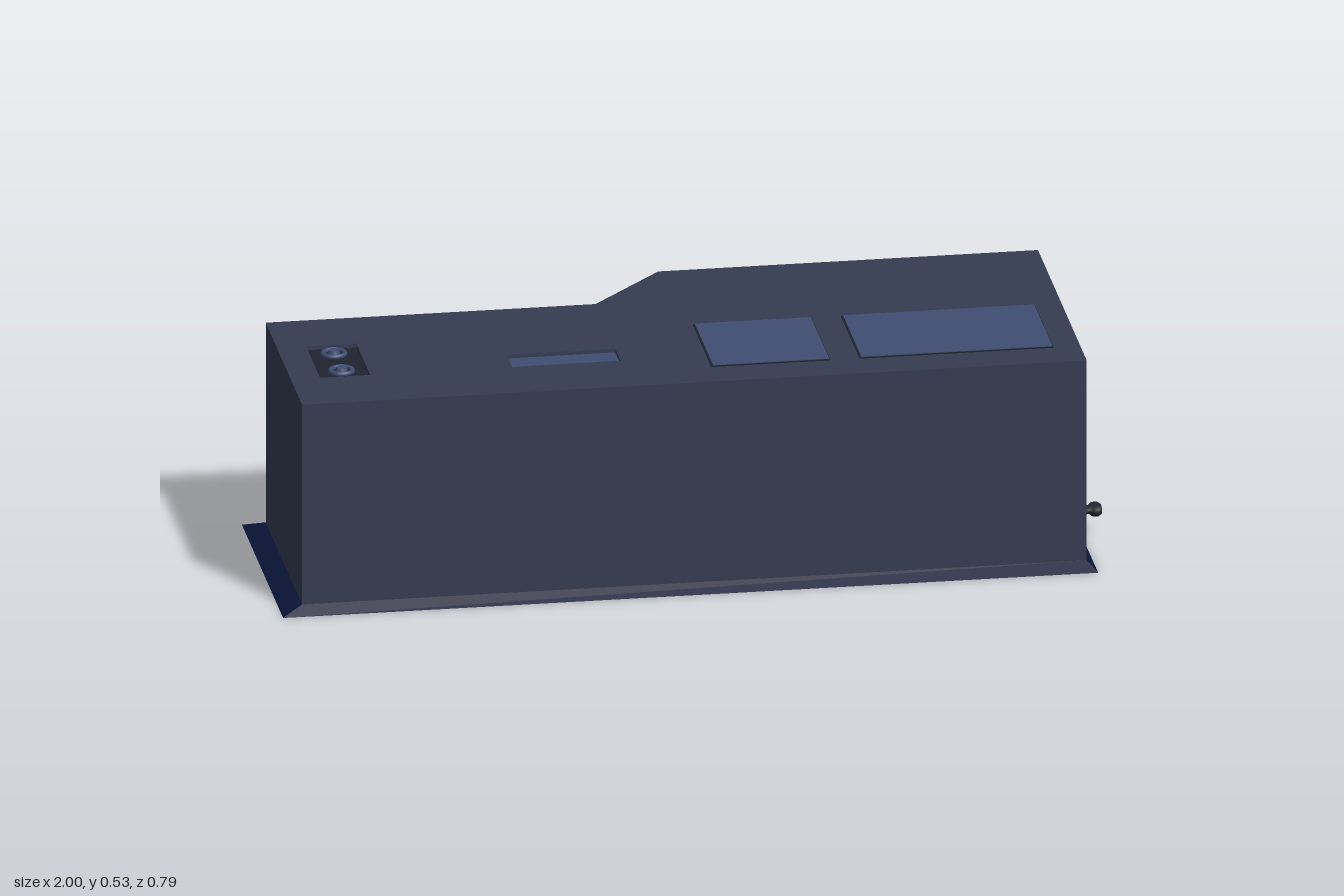
import * as THREE from 'three';

const mat = (color) => new THREE.MeshStandardMaterial({ color, side: THREE.DoubleSide });

export function createModel() {
  const desk = new THREE.Group();
  const body = mat(0x353c52), accent = mat(0x414e72), navy = mat(0x0a1538), dark = mat(0x20242f);

  const add = (name, geo, material, x = 0, y = 0, z = 0) => {
    const m = new THREE.Mesh(geo, material);
    m.name = name;
    m.position.set(x, y, z);
    desk.add(m);
    return m;
  };
  // box given by its limits
  const box = (name, material, x0, x1, y0, y1, z0, z1) =>
    add(name, new THREE.BoxGeometry(x1 - x0, y1 - y0, z1 - z0), material, (x0 + x1) / 2, (y0 + y1) / 2, (z0 + z1) / 2);
  const poly = (pts) => pts.map(([a, b]) => new THREE.Vector2(a, b));
  const rect = (x0, x1, y0, y1) => poly([[x0, y0], [x1, y0], [x1, y1], [x0, y1]]);
  // long slot with pointed ends
  const hex = (cx, cy, half, h, tip = 0.025) => poly([
    [cx - half, cy], [cx - half + tip, cy - h / 2], [cx + half - tip, cy - h / 2],
    [cx + half, cy], [cx + half - tip, cy + h / 2], [cx - half + tip, cy + h / 2]]);
  const extrude = (outline, depth, holes = []) => {
    const s = new THREE.Shape(outline);
    holes.forEach((h) => s.holes.push(new THREE.Path(h)));
    return new THREE.ExtrudeGeometry(s, { depth, bevelEnabled: false });
  };

  // desk top with two recesses; shape y is -z
  const topOutline = poly([[-0.95, -0.36], [0.93, -0.36], [0.93, 0.38], [0.02, 0.38], [-0.16, 0.19], [-0.95, 0.19]]);
  const topHoles = [rect(-0.42, -0.16, -0.19, -0.11), rect(-0.88, -0.76, -0.19, 0.02)];
  add('deskTop', extrude(topOutline, 0.022, topHoles).rotateX(-Math.PI / 2), body, 0, 0.504, 0);
  box('traySlot', accent, -0.43, -0.15, 0.504, 0.517, 0.1, 0.2);
  box('lampRecess', dark, -0.89, -0.75, 0.504, 0.516, -0.03, 0.2);
  for (const z of [0.02, 0.135]) {
    const x = -0.82;
    add('lampRing', new THREE.TorusGeometry(0.026, 0.006, 8, 24).rotateX(Math.PI / 2), accent, x, 0.52, z);
    add('lampButton', new THREE.CylinderGeometry(0.012, 0.016, 0.013, 20), accent, x, 0.5225, z);
  }

  // flat screens on the top
  for (const [x0, x1] of [[0.05, 0.33], [0.405, 0.865]]) {
    box('screenFrame', dark, x0 - 0.004, x1, 0.524, 0.529, -0.015, 0.265);
    box('screen', accent, x0, x1 - 0.002, 0.526, 0.531, -0.013, 0.263);
  }

  // main masses
  box('frontPanel', body, -0.95, 0.93, 0.005, 0.504, 0.345, 0.36);
  box('cabinet', body, 0.02, 0.918, 0.005, 0.504, -0.38, 0.345);
  box('pedestal', body, -0.95, -0.72, 0.005, 0.504, -0.19, 0.345);
  for (const z of [0.275, -0.06]) {
    box('pedestalRib', body, -0.72, -0.708, 0.02, 0.504, z - 0.025, z + 0.025);
  }

  // vented side of the cabinet; shape x is -z
  const vents = [hex(0, 0.417, 0.174, 0.034), hex(0, 0.334, 0.24, 0.03), hex(0, 0.277, 0.24, 0.03),
    rect(-0.135, 0.135, 0.142, 0.184)];
  add('sideVents', extrude(rect(-0.36, 0.38, 0.005, 0.504), 0.012, vents).rotateY(Math.PI / 2), body, 0.918, 0, 0);
  box('ventBacking', accent, 0.915, 0.92, 0.13, 0.45, -0.25, 0.25);

  // oval plates with turned knobs
  const knob = [[0, 0], [0.034, 0], [0.034, 0.006], [0.02, 0.012], [0.016, 0.03], [0.026, 0.038],
    [0.027, 0.05], [0.018, 0.058], [0, 0.06]];
  for (const z of [0.145, -0.115]) {
    const plate = add('knobPlate', new THREE.CylinderGeometry(0.06, 0.06, 0.006, 40).rotateZ(-Math.PI / 2), body, 0.932, 0.065, z);
    plate.scale.y = 0.55;
    const k = add('knob', new THREE.LatheGeometry(poly(knob), 28).rotateZ(-Math.PI / 2), dark, 0.935, 0.065, z);
    k.scale.set(65 / 60, 0.6, 1);
  }

  // four drawers with louvred grips on the back
  const seams = [0.02, 0.125, 0.26, 0.39, 0.504];
  for (let i = 0; i < 4; i++) {
    const y0 = seams[i], y1 = seams[i + 1], mid = (y0 + y1) / 2;
    box('drawerFront', body, 0.06, 0.89, y0 + 0.003, y1 - 0.003, -0.385, -0.375);
    box('drawerSeam', dark, 0.06, 0.89, y1 - 0.003, y1, -0.381, -0.375);
    box('gripPlate', body, 0.3, 0.66, mid - 0.045, mid + 0.045, -0.388, -0.38);
    for (const dy of [-0.033, 0, 0.033]) {
      add('gripLouvre', extrude(hex(-0.48, mid + dy, 0.18, 0.02, 0.015), 0.009).rotateY(Math.PI), i % 2 ? body : accent, 0, 0, -0.386);
    }
  }

  // flared skirting following the footprint, [x, z] at wall and at floor
  const wall = [[-0.95, 0.36], [0.93, 0.36], [0.93, -0.38], [0.02, -0.38], [0.02, 0.345], [-0.72, 0.345], [-0.72, -0.19], [-0.95, -0.19]];
  const floor = [[-1, 0.39], [0.952, 0.395], [0.95, -0.385], [0.015, -0.385], [0.015, 0.33], [-0.71, 0.33], [-0.71, -0.235], [-1, -0.235]];
  const verts = [];
  const quad = (a, b, c, d) => verts.push(...a, ...b, ...c, ...a, ...c, ...d);
  const at = (p, y) => [p[0], y, p[1]];
  for (let i = 0; i < wall.length; i++) {
    const j = (i + 1) % wall.length;
    quad(at(floor[i], 0), at(floor[j], 0), at(wall[j], 0.02), at(wall[i], 0.02));
    quad(at(wall[i], 0.004), at(wall[j], 0.004), at(floor[j], 0), at(floor[i], 0));
  }
  const skirt = new THREE.BufferGeometry();
  skirt.setAttribute('position', new THREE.Float32BufferAttribute(verts, 3));
  skirt.computeVertexNormals();
  add('skirting', skirt, navy);
  for (const x of [0.015, 0.88]) box('cornerFoot', navy, x, x + 0.06, 0, 0.018, -0.395, -0.36);

  return desk;
}
